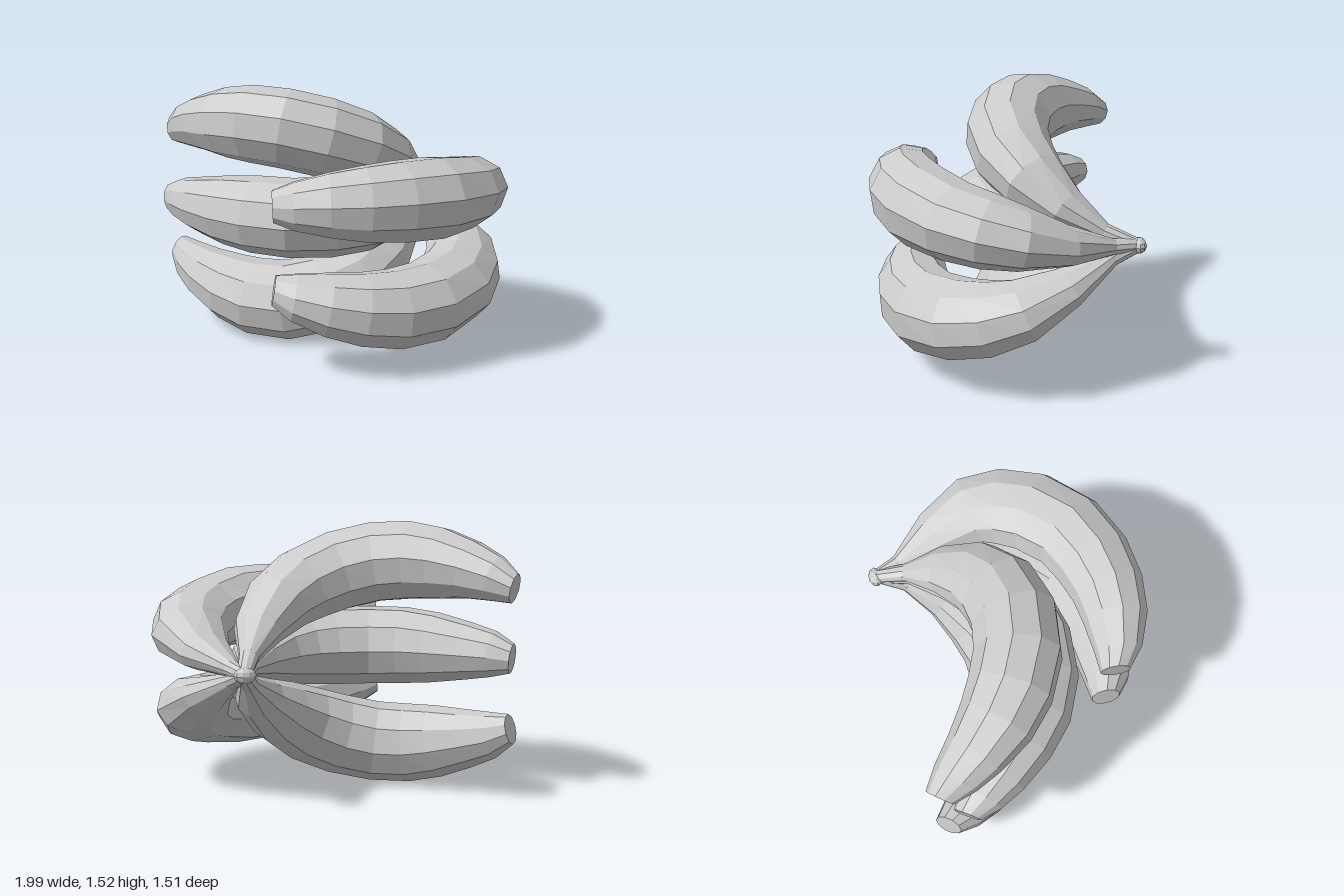
import * as THREE from 'three';

const SIDES = 10;
const STEM = [0.575, 0.78, -0.7];
const material = new THREE.MeshStandardMaterial({ color: 0xcccccc, flatShading: true });

// Ring radii from stem to tip: across the bend (wide) and along the bend's axis (tall)
const FRONT_WIDE = [0.04, 0.05, 0.15, 0.215, 0.235, 0.245, 0.24, 0.23, 0.21, 0.185, 0.135, 0.085];
const FRONT_TALL = [0.04, 0.045, 0.105, 0.165, 0.195, 0.212, 0.232, 0.227, 0.21, 0.18, 0.135, 0.09];
const BACK_WIDE = [0.04, 0.055, 0.145, 0.205, 0.235, 0.245, 0.245, 0.235, 0.21, 0.17, 0.13, 0.08];
const BACK_TALL = [0.04, 0.05, 0.115, 0.18, 0.215, 0.23, 0.23, 0.225, 0.205, 0.165, 0.13, 0.085];

// Centrelines after the shared stem point
const frontUpper = [
  [0.62, 0.79, -0.56], [0.73, 0.84, -0.31], [0.785, 0.9, -0.07], [0.75, 0.93, 0.1], [0.65, 0.955, 0.275], [0.46, 0.98, 0.44],
  [0.25, 0.992, 0.52], [0.055, 0.995, 0.55], [-0.125, 0.995, 0.54], [-0.315, 0.985, 0.5], [-0.425, 0.975, 0.45],
];
const frontLower = [
  [0.615, 0.725, -0.56], [0.72, 0.605, -0.31], [0.77, 0.5, -0.08], [0.735, 0.44, 0.085], [0.64, 0.4, 0.25], [0.45, 0.365, 0.41],
  [0.24, 0.362, 0.49], [0.05, 0.385, 0.52], [-0.13, 0.42, 0.51], [-0.32, 0.46, 0.475], [-0.425, 0.49, 0.43],
];
const backUpper = [
  [0.525, 0.84, -0.53], [0.44, 0.95, -0.33], [0.3, 1.07, -0.165], [0.14, 1.155, -0.07], [-0.07, 1.23, -0.035], [-0.285, 1.28, -0.075],
  [-0.47, 1.295, -0.17], [-0.61, 1.285, -0.285], [-0.735, 1.26, -0.43], [-0.83, 1.225, -0.56], [-0.9, 1.18, -0.667],
];
const backMiddle = [
  [0.53, 0.78, -0.52], [0.46, 0.78, -0.3], [0.33, 0.78, -0.1], [0.15, 0.78, 0.025], [-0.05, 0.78, 0.06], [-0.28, 0.78, 0.035],
  [-0.47, 0.785, -0.055], [-0.62, 0.785, -0.175], [-0.77, 0.785, -0.33], [-0.875, 0.785, -0.455], [-0.945, 0.775, -0.55],
];
const backLower = [
  [0.525, 0.7, -0.54], [0.44, 0.58, -0.35], [0.3, 0.46, -0.2], [0.14, 0.36, -0.1], [-0.07, 0.275, -0.065], [-0.285, 0.228, -0.1],
  [-0.47, 0.23, -0.19], [-0.61, 0.26, -0.3], [-0.74, 0.305, -0.44], [-0.835, 0.35, -0.565], [-0.9, 0.405, -0.667],
];

// Faceted, tapering fruit swept along a centreline, with a flat tip
function fruitGeometry(path, wide, tall) {
  const centres = [STEM, ...path].map((p) => new THREE.Vector3(...p));
  const last = centres.length - 1;
  // Axis of the bend, so the rings follow the curve without twisting
  const axis = centres[last].clone().sub(centres[0]).cross(centres[5].clone().sub(centres[0])).normalize();
  if (axis.y < 0) axis.negate();
  const positions = [];
  const index = [];

  centres.forEach((c, i) => {
    const t = centres[Math.min(i + 1, last)].clone().sub(centres[Math.max(i - 1, 0)]).normalize();
    // The tip straightens out of the bend
    t.applyAxisAngle(axis, 0.15 * Math.max(0, i - last + 2));
    const u = axis.clone().cross(t).normalize();
    const v = t.clone().cross(u);
    for (let j = 0; j < SIDES; j++) {
      const a = (j / SIDES) * Math.PI * 2;
      const p = c.clone().addScaledVector(u, wide[i] * Math.cos(a)).addScaledVector(v, tall[i] * Math.sin(a));
      positions.push(p.x, p.y, p.z);
    }
  });
  for (let i = 0; i < last; i++) {
    for (let j = 0; j < SIDES; j++) {
      const a = i * SIDES + j;
      const b = i * SIDES + ((j + 1) % SIDES);
      index.push(a, b, b + SIDES, a, b + SIDES, a + SIDES);
    }
  }
  // Flat tip
  for (let j = 1; j < SIDES - 1; j++) index.push(last * SIDES, last * SIDES + j, last * SIDES + j + 1);

  const geometry = new THREE.BufferGeometry();
  geometry.setAttribute('position', new THREE.Float32BufferAttribute(positions, 3));
  geometry.setIndex(index);
  const flat = geometry.toNonIndexed();
  flat.computeVertexNormals();
  return flat;
}

export function createModel() {
  const group = new THREE.Group();
  group.name = 'fruitBunch';
  const add = (name, geometry) => {
    const mesh = new THREE.Mesh(geometry, material);
    mesh.name = name;
    group.add(mesh);
    return mesh;
  };

  // Five fruits fanning out from one stem
  add('frontUpperFruit', fruitGeometry(frontUpper, FRONT_WIDE, FRONT_TALL));
  add('frontLowerFruit', fruitGeometry(frontLower, FRONT_WIDE, FRONT_TALL));
  add('backUpperFruit', fruitGeometry(backUpper, BACK_WIDE, BACK_TALL));
  add('backMiddleFruit', fruitGeometry(backMiddle, BACK_WIDE, BACK_TALL));
  add('backLowerFruit', fruitGeometry(backLower, BACK_WIDE, BACK_TALL));

  // Stem knob joining the fruits
  const knob = add('stemKnob', new THREE.SphereGeometry(0.043, 10, 6));
  knob.position.set(0.573, 0.78, -0.71);
  knob.scale.x = 1.4;
  return group;
}
